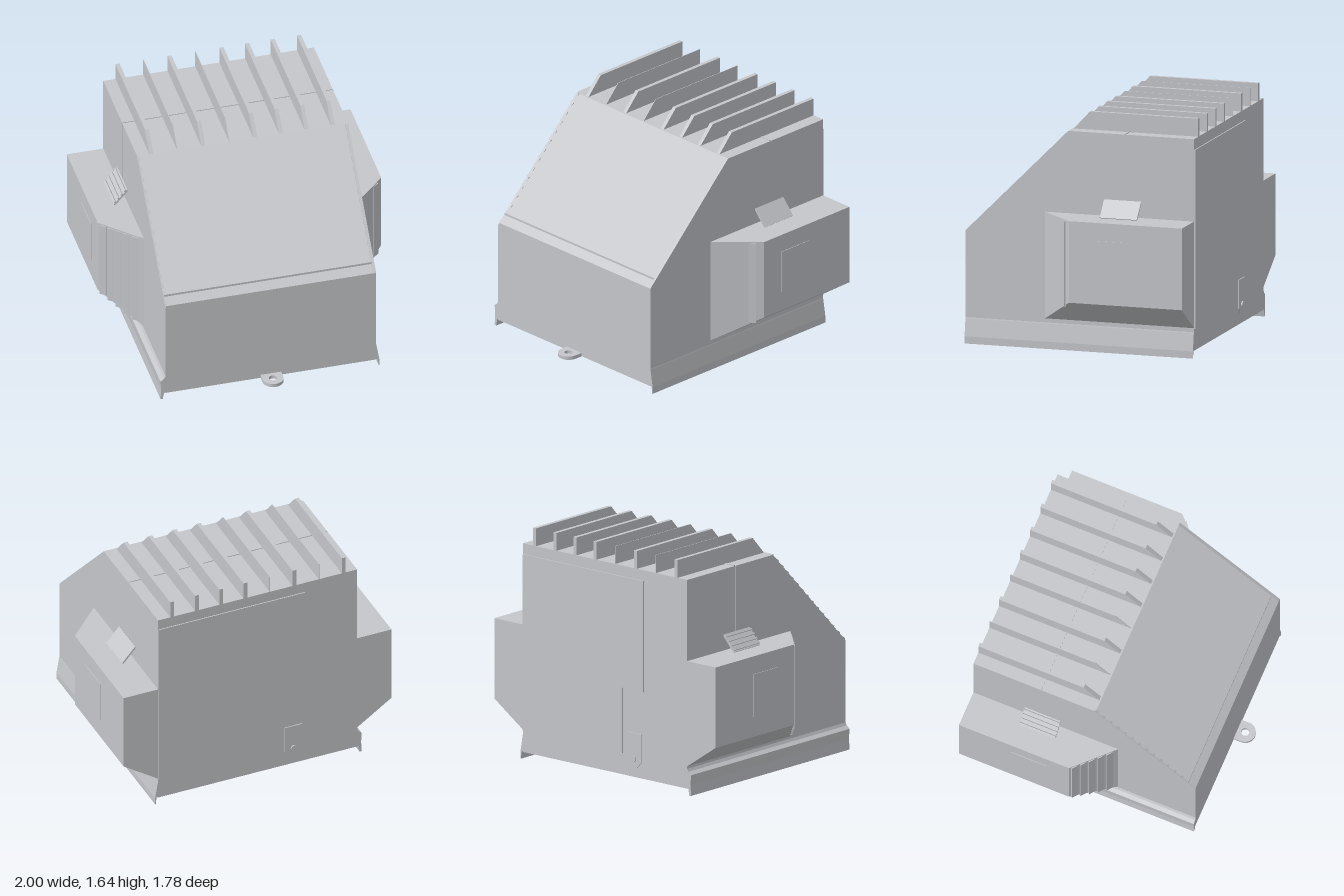
import * as THREE from 'three';
import { ConvexGeometry } from 'three/addons/geometries/ConvexGeometry.js';

export function createModel() {
  const model = new THREE.Group();
  model.name = 'louvredHousing';
  const grey = new THREE.MeshStandardMaterial({ color: 0xc4c6ca });
  grey.name = 'housing grey';

  const add = (name, geometry, x = 0, y = 0, z = 0) => {
    const mesh = new THREE.Mesh(geometry, grey);
    mesh.name = name;
    mesh.position.set(x, y, z);
    model.add(mesh);
    return mesh;
  };
  const box = (name, w, h, d, x, y, z) => add(name, new THREE.BoxGeometry(w, h, d), x, y, z);
  const shapeOf = (pts) => new THREE.Shape(pts.map(([a, b]) => new THREE.Vector2(a, b)));
  const extrude = (shape, depth) =>
    new THREE.ExtrudeGeometry(shape, { depth, bevelEnabled: false, curveSegments: 16 });
  // Extrudes a (z, y) profile along x between x0 and x1
  const alongX = (pts, x0, x1) =>
    extrude(shapeOf(pts), x1 - x0).rotateY(-Math.PI / 2).translate(x1, 0, 0);

  // Shell: front, louvred slope, roof and back as one hollow profile
  const profile = [[0.74, 0.05], [0.76, 0.05], [0.76, 0.78], [0.705, 0.82]];
  const slats = 13;
  for (let i = 0; i <= slats; i++) {
    const z = 0.705 - (i / slats) * 0.68;
    const y = 1.54 - z;
    if (i > 0) profile.push([z - 0.02, y - 0.007]);
    profile.push([z, y]);
  }
  profile.push([-0.875, 1.515], [-0.875, 0.05], [-0.855, 0.05], [-0.855, 1.49],
    [-0.02, 1.49], [0.74, 0.73]);
  add('louvredShell', alongX(profile, -0.735, 0.735));

  // Side walls; the right one sits just below the louvre tips
  const wall = (inset) => [[0.76, 0.05], [0.76, 0.78 - inset], [0.025 - inset, 1.515],
    [-0.875, 1.515], [-0.875, 0.05]];
  add('leftWall', alongX(wall(0), 0.72, 0.74));
  add('rightWall', alongX(wall(0.015), -0.74, -0.72));

  // Flared skirts along the bottom of each side
  const skirt = (name, pts) => add(name, extrude(shapeOf(pts), 1.635), 0, 0, -0.875);
  skirt('leftSkirt', [[0.735, 0.2], [0.735, 0.06], [0.752, 0.05], [0.757, 0], [0.762, 0],
    [0.762, 0.05], [0.752, 0.11], [0.742, 0.17]]);
  skirt('rightSkirt', [[-0.735, 0.2], [-0.75, 0.17], [-0.775, 0.15], [-0.77, 0.08],
    [-0.775, 0.005], [-0.76, 0], [-0.75, 0.05], [-0.735, 0.06]]);

  // Roof fins: six thick ones, two of thin sheet
  const fin = [[0.02, 1.51], [-0.1, 1.64], [-0.875, 1.64], [-0.875, 1.51]];
  for (const x of [-0.64, -0.275, 0.09, 0.27, 0.45, 0.635]) {
    add('roofFin', alongX(fin, x - 0.014, x + 0.014));
  }
  for (const x of [-0.457, -0.092]) add('thinRoofFin', alongX(fin, x - 0.002, x + 0.002));
  box('roofSeam', 1.47, 0.006, 0.01, 0, 1.517, -0.38);

  // Side pods with tapered front and bottom
  for (const s of [1, -1]) {
    const side = s > 0 ? 'left' : 'right';
    const corners = [[0.73, 0.945, 0.2], [0.996, 0.945, -0.066], [0.996, 0.945, -0.875], [0.73, 0.945, -0.875],
      [0.996, 0.38, -0.066], [0.996, 0.38, -0.875], [0.73, 0.2, 0.2], [0.73, 0.2, -0.875]];
    add(side + 'Pod', new ConvexGeometry(corners.map(([x, y, z]) => new THREE.Vector3(s * x, y, z))));

    // Vertical ribs on the slanted pod front
    for (const x of s > 0 ? [0.94] : [0.785, 0.83, 0.875, 0.92, 0.965]) {
      const low = 0.2 + ((x - 0.73) / 0.266) * 0.18;
      const rib = box(side + 'PodRib', 0.05, 0.935 - low, 0.014, s * x, (0.935 + low) / 2, 0.928 - x);
      rib.rotation.y = s * 0.65;
    }

    // Service panel on the pod's outer face
    box(side + 'PodPanel', 0.008, 0.3, 0.26, s * 0.996, 0.67, -0.36);

    // Tilted vent flap above the pod
    const flap = new THREE.Group();
    flap.name = side + 'VentFlap';
    flap.position.set(s * 0.785, 1.0, -0.365);
    flap.rotation.z = -s * 0.85;
    const plate = new THREE.Mesh(new THREE.BoxGeometry(0.145, 0.012, 0.265), grey);
    plate.name = 'flapPlate';
    flap.add(plate);
    for (let i = 0; s < 0 && i < 4; i++) {
      const slat = new THREE.Mesh(new THREE.BoxGeometry(0.014, 0.016, 0.265), grey);
      slat.name = 'flapSlat';
      slat.position.set(-0.055 + i * 0.036, 0.008, 0);
      flap.add(slat);
    }
    model.add(flap);
    box(side + 'WallSeam', 0.004, 0.57, 0.008, s * 0.74, 1.23, -0.375);
  }

  // Back access panel with a stepped corner, and its latch
  const panel = shapeOf([[-0.35, 1.44], [-0.35, 0.66], [-0.16, 0.66], [-0.16, 0.2], [0.735, 0.2], [0.735, 1.44]]);
  add('backPanel', extrude(panel, 0.009), 0, 0, -0.883);
  const latch = shapeOf([[-0.33, 0.36], [-0.33, 0.16], [-0.295, 0.12], [-0.235, 0.12], [-0.2, 0.16], [-0.2, 0.36]]);
  add('latchPlate', extrude(latch, 0.008), 0, 0, -0.882);
  add('latchKnob', new THREE.CylinderGeometry(0.022, 0.022, 0.012, 16).rotateX(Math.PI / 2), -0.265, 0.18, -0.885);

  // Front towing tab with a hole
  const tab = new THREE.Shape();
  tab.moveTo(-0.072, 0.74);
  tab.lineTo(0.072, 0.74);
  tab.lineTo(0.072, 0.815);
  tab.absarc(0, 0.815, 0.072, 0, Math.PI, false);
  tab.closePath();
  tab.holes.push(new THREE.Path().absarc(0, 0.815, 0.028, 0, Math.PI * 2, true));
  add('frontTab', extrude(tab, 0.025).rotateX(Math.PI / 2), 0, 0.075, 0);

  // Inner runners and mounting brackets
  box('innerRunner', 0.03, 0.13, 0.87, 0.52, 0.125, 0.31);
  box('innerRunner', 0.03, 0.13, 1.14, -0.23, 0.125, 0.175);
  for (const x of [0.36, -0.1]) {
    box('bracketPlate', 0.16, 0.1, 0.02, x, 0.13, 0.5);
    for (const e of [-0.07, 0.07]) box('bracketArm', 0.02, 0.1, 0.25, x + e, 0.13, 0.62);
  }
  return model;
}
